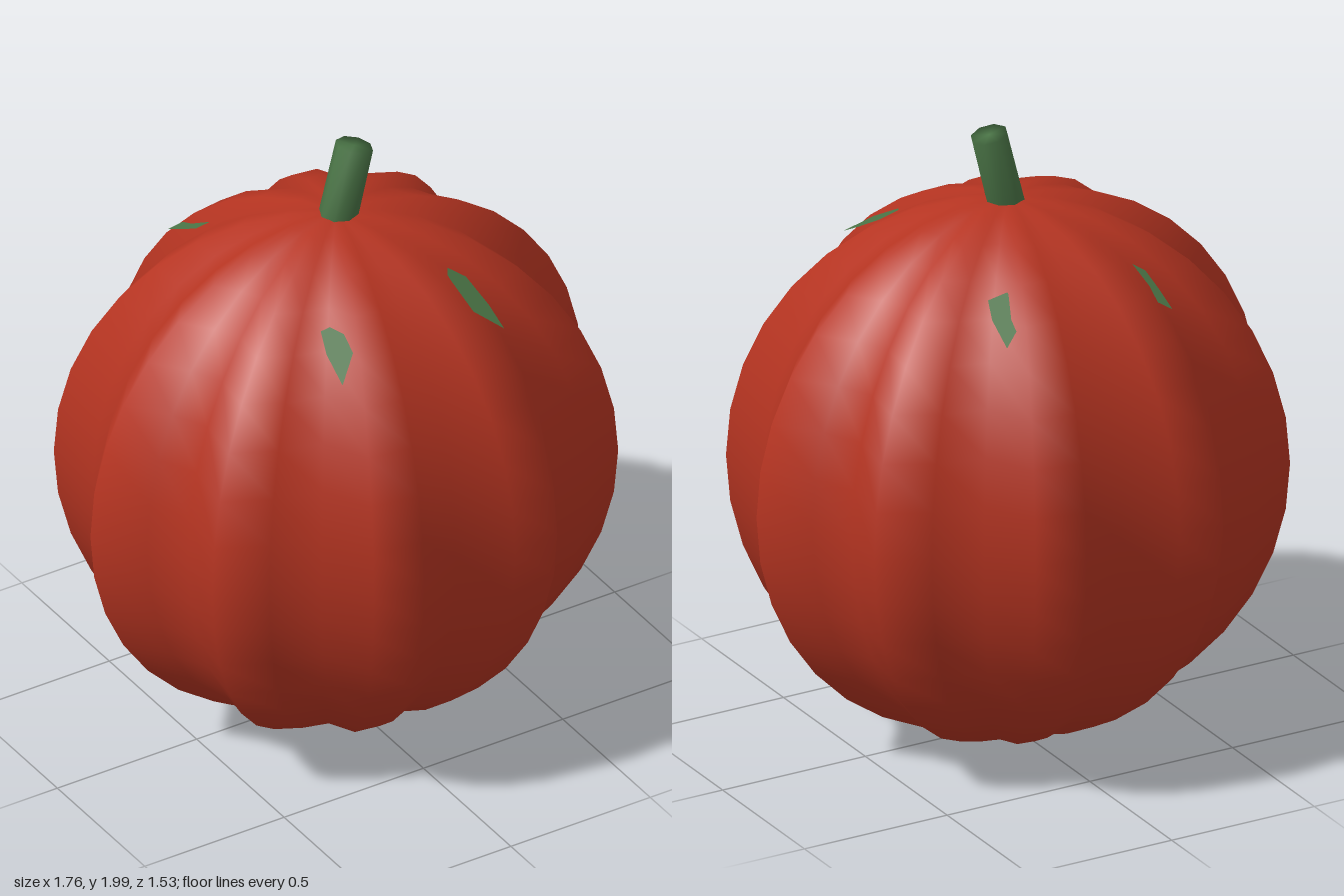
import * as THREE from 'three';
import { mergeVertices } from 'three/addons/utils/BufferGeometryUtils.js';

// Join shared corners so the whole surface shades smoothly
function smooth(geometry) {
  geometry.deleteAttribute('uv');
  geometry.deleteAttribute('normal');
  const merged = mergeVertices(geometry, 1e-5);
  merged.computeVertexNormals();
  return merged;
}

// Flat blade given by its x, z outline, sloping down away from the stem
function bladeGeometry(outline) {
  const geo = new THREE.ShapeGeometry(new THREE.Shape(outline.map(([x, z]) => new THREE.Vector2(x, -z))));
  geo.rotateX(-Math.PI / 2);
  const p = geo.attributes.position;
  for (let i = 0; i < p.count; i++) {
    const x = Math.abs(p.getX(i)), z = Math.abs(p.getZ(i));
    p.setY(i, 1.65 - 0.52 * (z - 0.3) - 0.35 * (x - 0.215));
  }
  geo.computeVertexNormals();
  return geo;
}

export function createModel() {
  const model = new THREE.Group();
  model.name = 'pumpkin';
  const red = new THREE.MeshStandardMaterial({ color: 0xb53421 });
  red.name = 'pumpkin red';
  const green = new THREE.MeshStandardMaterial({ color: 0x4a7446 });
  green.name = 'stem green';
  const leafGreen = new THREE.MeshStandardMaterial({ color: 0x4a7446, side: THREE.DoubleSide });
  leafGreen.name = 'leaf green';

  // Body: a sphere whose rings swell sideways into ten ribs, narrower front to back
  const sphere = new THREE.SphereGeometry(1, 32, 18);
  const pos = sphere.attributes.position;
  for (let i = 0; i < pos.count; i++) {
    const x = pos.getX(i), z = pos.getZ(i);
    const spread = 0.81 * (1 + 0.088 * Math.cos(10 * Math.atan2(z, x)));
    pos.setXYZ(i, x * spread, pos.getY(i) * 0.88, z * spread * 0.932);
  }
  const body = new THREE.Mesh(smooth(sphere), red);
  body.name = 'body';
  body.position.y = 0.89;
  model.add(body);

  // Stem: short cylinder leaning to the side
  const stem = new THREE.Mesh(smooth(new THREE.CylinderGeometry(0.059, 0.061, 0.29, 8)), green);
  stem.name = 'stem';
  stem.rotation.z = -0.245;
  stem.position.set(0.031, 1.846, 0);
  model.add(stem);

  // Leaves: four blades lying on the shoulders, each a little different
  const leaves = {
    frontLeftLeaf: [[0.29, 0.5], [0.285, 0.42], [0.262, 0.325], [0.215, 0.295], [0.2, 0.32], [0.2, 0.43]],
    frontRightLeaf: [[-0.29, 0.5], [-0.285, 0.4], [-0.265, 0.335], [-0.235, 0.34], [-0.21, 0.38], [-0.215, 0.44]],
    backLeftLeaf: [[0.29, -0.5], [0.285, -0.4], [0.265, -0.34], [0.2, -0.35], [0.235, -0.43], [0.24, -0.47]],
    backRightLeaf: [[-0.29, -0.5], [-0.25, -0.48], [-0.255, -0.42], [-0.24, -0.34], [-0.275, -0.36], [-0.285, -0.43]],
  };
  for (const [name, outline] of Object.entries(leaves)) {
    const leaf = new THREE.Mesh(bladeGeometry(outline), leafGreen);
    leaf.name = name;
    model.add(leaf);
  }
  return model;
}
